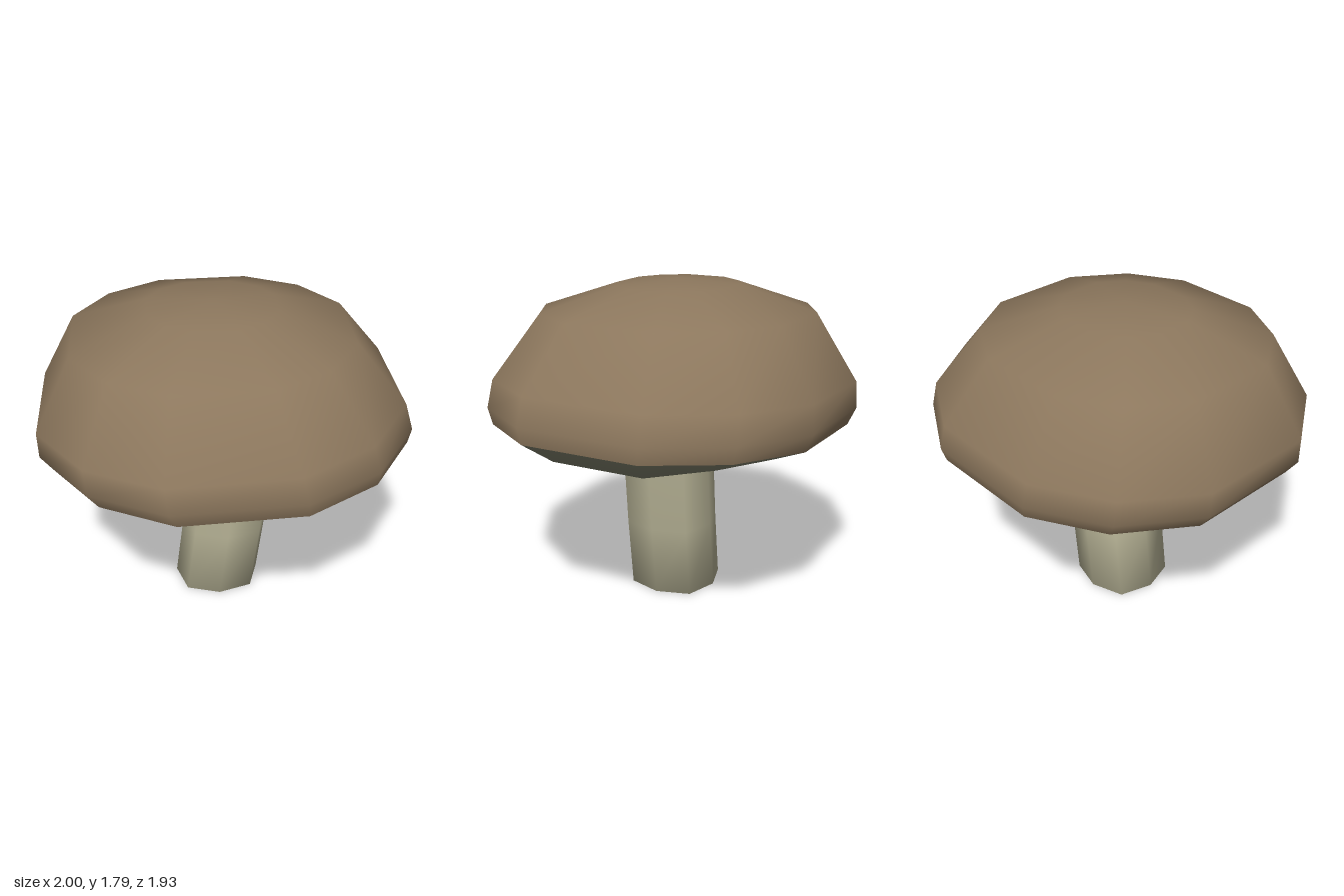
import * as THREE from 'three';
import { mergeVertices } from 'three/addons/utils/BufferGeometryUtils.js';

// Skin a list of closed rings, ordered from the bottom pole upwards, with smooth normals
function loft(rings) {
  const n = rings[0].length, pos = [], index = [];
  rings.forEach(ring => ring.forEach(p => pos.push(...p)));
  for (let r = 0; r < rings.length - 1; r++) {
    for (let i = 0; i < n; i++) {
      const a = r * n + i, b = r * n + (i + 1) % n;
      index.push(a, a + n, b, b, a + n, b + n);
    }
  }
  let geo = new THREE.BufferGeometry();
  geo.setAttribute('position', new THREE.Float32BufferAttribute(pos, 3));
  geo.setIndex(index);
  geo = mergeVertices(geo);
  geo.computeVertexNormals();
  return geo;
}

// Mirror the outline of one quadrant into a full loop
function fullLoop(quadrant) {
  const rev = [...quadrant].reverse();
  return [
    ...quadrant,
    ...rev.map(([x, z]) => [-x, z]),
    ...quadrant.map(([x, z]) => [-x, -z]),
    ...rev.map(([x, z]) => [x, -z]),
  ];
}

// Twelve-sided cap outline, scaled so each ring can be given in x and z extents
const capOutline = fullLoop([[1, 0.36], [0.74, 0.765], [0.34, 1]]);
const capRing = (cx, rx, rz, y, tilt) =>
  capOutline.map(([x, z]) => [cx + x * rx, y + x * tilt, z * rz]);

// Eight-sided stem outline, slightly squared
const stemOutline = Array.from({ length: 8 }, (_, i) => {
  const a = i * Math.PI / 4, r = i % 2 ? 0.266 : 0.246;
  return [r * Math.cos(a), r * Math.sin(a)];
});
const stemRing = (cx, y, s = 1) => stemOutline.map(([x, z]) => [cx + x * s, y, z * s]);

export function createModel() {
  const brown = new THREE.MeshStandardMaterial({ name: 'capBrown', color: 0x8c775d });
  const gill = new THREE.MeshStandardMaterial({ name: 'undersideGrey', color: 0x83846f });
  const cream = new THREE.MeshStandardMaterial({ name: 'stemCream', color: 0xb6b295 });

  const group = new THREE.Group();
  group.name = 'mushroom';
  const add = (name, geo, mat) => {
    const mesh = new THREE.Mesh(geo, mat);
    mesh.name = name;
    group.add(mesh);
  };

  // Domed cap, leaning slightly
  const rim = capRing(0.025, 0.955, 0.93, 1.025, 0.035);
  add('cap', loft([
    rim,
    capRing(0, 0.995, 0.965, 1.115, 0.035),
    capRing(-0.025, 0.975, 0.95, 1.26, 0.04),
    capRing(-0.06, 0.745, 0.72, 1.62, 0.01),
    capRing(-0.055, 0.345, 0.32, 1.76, 0),
    capRing(-0.05, 0, 0, 1.79, 0),
  ]), brown);

  // Underside bulging below the rim, with an uneven edge
  const lower = capRing(0.02, 0.79, 0.74, 0.962, -0.03);
  lower.forEach((p, i) => { if (i % 3 === 1) p[1] += 0.02; });
  add('capUnderside', loft([capRing(0.04, 0, 0, 0.965, 0), lower, rim]), gill);

  // Bent stem with a closed foot
  add('stem', loft([
    stemRing(-0.035, 0, 0),
    stemRing(-0.035, 0),
    stemRing(0.015, 0.4),
    stemRing(0.05, 0.8),
    stemRing(0.05, 1.0),
  ]), cream);

  return group;
}
